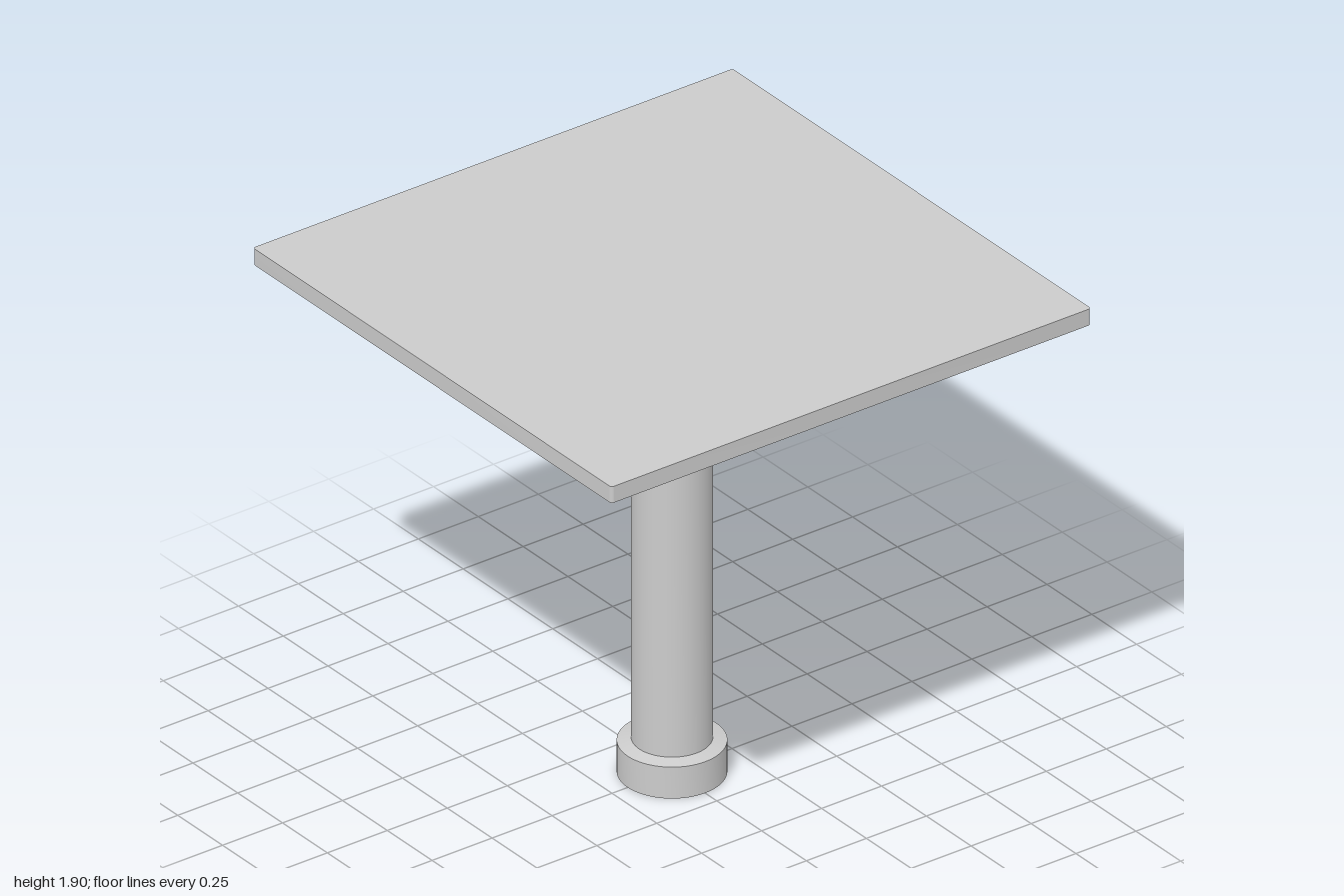
import * as THREE from 'three';
import { toCreasedNormals } from 'three/addons/utils/BufferGeometryUtils.js';

const material = new THREE.MeshStandardMaterial({ color: 0xcccccc });

function part(name, geometry) {
  const mesh = new THREE.Mesh(geometry, material);
  mesh.name = name;
  return mesh;
}

// Solid of revolution with sharp rims, from [radius, height] pairs listed bottom to top
function turned(name, profile) {
  const points = profile.map(([r, y]) => new THREE.Vector2(r, y));
  return part(name, toCreasedNormals(new THREE.LatheGeometry(points, 64), 0.15));
}

// Square slab with slightly rounded upright corners
function slab(name, half, radius, bottom, thickness) {
  const s = new THREE.Shape();
  const c = half - radius;
  s.absarc(c, c, radius, 0, Math.PI / 2);
  s.absarc(-c, c, radius, Math.PI / 2, Math.PI);
  s.absarc(-c, -c, radius, Math.PI, Math.PI * 1.5);
  s.absarc(c, -c, radius, Math.PI * 1.5, Math.PI * 2);
  const g = new THREE.ExtrudeGeometry(s, { depth: thickness, bevelEnabled: false, curveSegments: 6 });
  g.rotateX(-Math.PI / 2).translate(0, bottom, 0);
  return part(name, toCreasedNormals(g, 0.6));
}

export function createModel() {
  const table = new THREE.Group();
  table.name = 'pedestalTable';
  table.add(
    slab('tabletop', 1, 0.012, 1.837, 0.063),
    // Collar under the top
    turned('collar', [[0, 1.692], [0.189, 1.692], [0.189, 1.837], [0, 1.837]]),
    turned('column', [[0, 0.1], [0.137, 0.1], [0.137, 1.75], [0, 1.75]]),
    // Foot with a gently sloped upper rim
    turned('foot', [[0, 0], [0.185, 0], [0.185, 0.121], [0.137, 0.132], [0, 0.132]])
  );
  return table;
}
